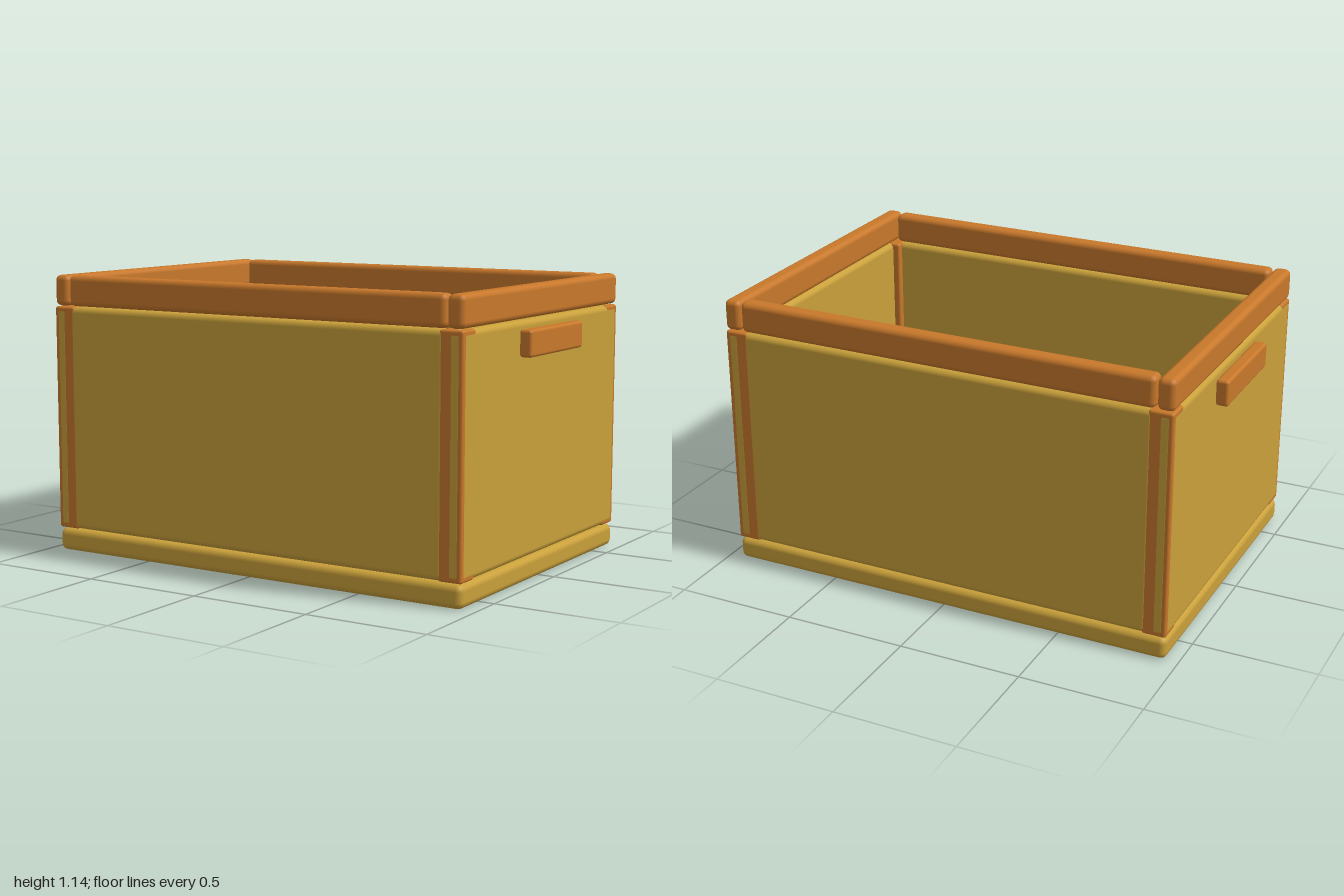
import * as THREE from 'three';
import { RoundedBoxGeometry } from 'three/addons/geometries/RoundedBoxGeometry.js';

const panelYellow = new THREE.MeshStandardMaterial({ name: 'panelYellow', color: 0xc9a03a });
const trimOrange = new THREE.MeshStandardMaterial({ name: 'trimOrange', color: 0xc8782b });

// Rounded board given by its lowest and highest corners
function board(name, material, min, max, radius) {
  const size = max.map((v, i) => v - min[i]);
  const mesh = new THREE.Mesh(new RoundedBoxGeometry(...size, 2, radius), material);
  mesh.position.set(...max.map((v, i) => (v + min[i]) / 2));
  mesh.name = name;
  return mesh;
}

export function createModel() {
  const crate = new THREE.Group();
  crate.name = 'crate';
  const X = 0.95, Z = 0.665;           // outer half width and depth
  const wallX = 0.88, wallZ = 0.592;   // inner wall faces
  const endX = 0.875;                  // half length of front and back boards
  const y0 = 0.097, y1 = 1.017;        // wall bottom and top
  const r0 = 1.02, r1 = 1.145;         // rim bottom and top

  crate.add(board('base', panelYellow, [-X, 0, -Z], [X, 0.092, Z], 0.026));

  // Front and back walls and rim rails
  for (const [side, s] of [['front', 1], ['back', -1]]) {
    const near = Math.min(s * wallZ, s * Z), far = Math.max(s * wallZ, s * Z);
    crate.add(board(side + 'Wall', panelYellow, [-endX, y0, near], [endX, y1, far], 0.024));
    crate.add(board(side + 'Rail', trimOrange, [-endX, r0, near], [endX, r1, far], 0.022));
  }

  // Side walls, rim rails and handles
  for (const [side, s] of [['left', 1], ['right', -1]]) {
    const near = Math.min(s * wallX, s * X), far = Math.max(s * wallX, s * X);
    crate.add(board(side + 'Wall', panelYellow, [near, y0, -Z], [far, y1, Z], 0.024));
    crate.add(board(side + 'Rail', trimOrange, [near, r0, -Z], [far, r1, Z], 0.022));
    const a = s * (X - 0.002), b = s;
    crate.add(board(side + 'Handle', trimOrange,
      [Math.min(a, b), 0.88, -0.226], [Math.max(a, b), 0.985, 0.226], 0.012));

    // Corner posts, set a hair inside the wall faces
    for (const [end, t] of [['Front', 1], ['Back', -1]]) {
      const post = board(side + end + 'Post', trimOrange,
        [-0.0495, y0, -0.0495], [0.0495, y1, 0.0495], 0.01);
      post.position.x = s * (X - 0.0505);
      post.position.z = t * (Z - 0.0505);
      crate.add(post);
    }
  }
  return crate;
}
